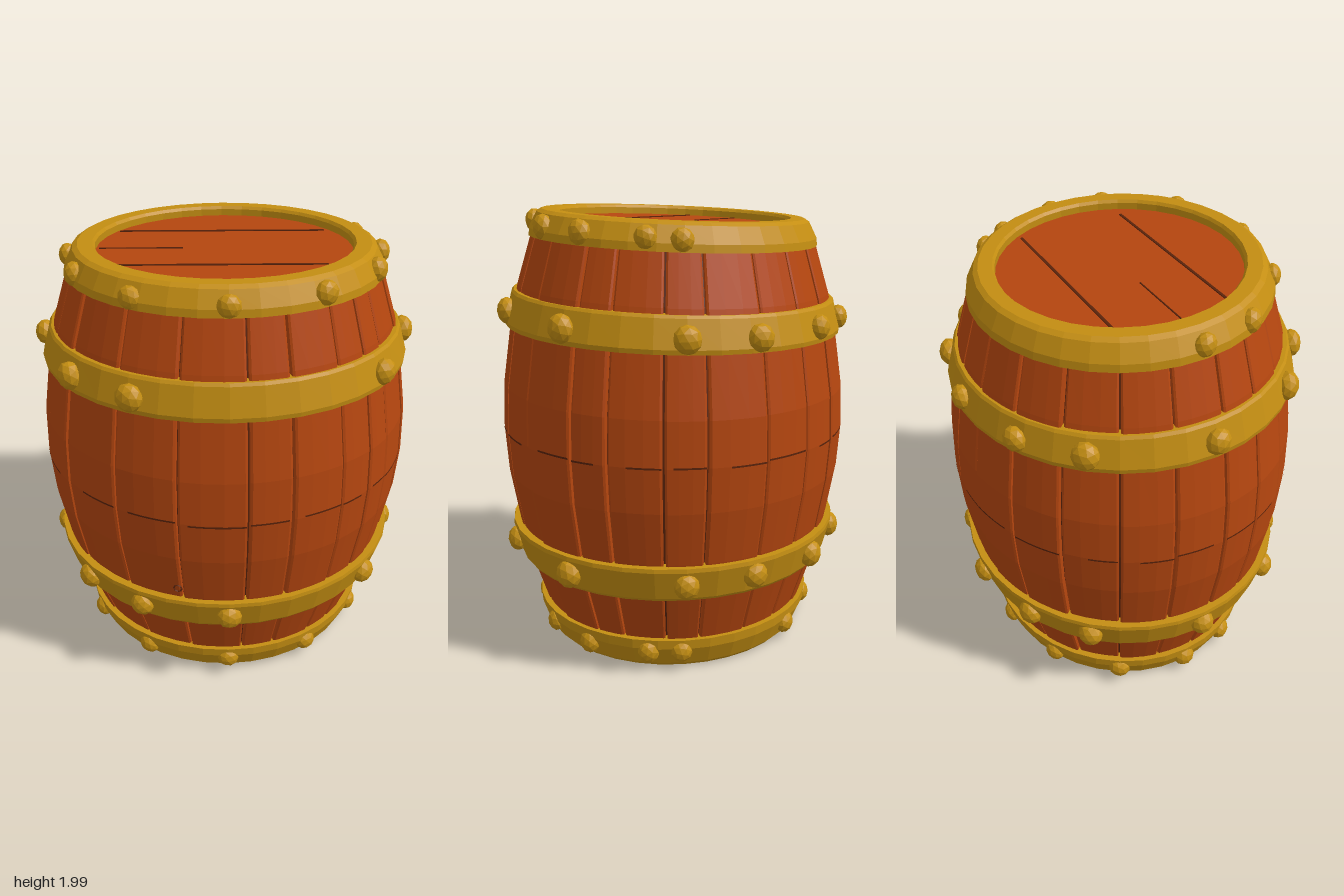
import * as THREE from 'three';

const wood = new THREE.MeshStandardMaterial({ color: 0xb5460f, flatShading: true });
wood.name = 'reddish wood';
const dark = new THREE.MeshStandardMaterial({ color: 0x5a230a, flatShading: true });
dark.name = 'dark gap';
const gold = new THREE.MeshStandardMaterial({ color: 0xc48e12, flatShading: true });
gold.name = 'old gold';

const RAD = Math.PI / 180;
// Barrel outline as [height, radius]
const outline = [[0.05, 0.625], [0.16, 0.668], [0.39, 0.745], [0.56, 0.785], [0.8, 0.828],
  [1, 0.842], [1.2, 0.834], [1.48, 0.79], [1.64, 0.752], [1.87, 0.678], [1.93, 0.655]];

function radiusAt(y) {
  for (let i = 1; i < outline.length; i++) {
    const [y0, r0] = outline[i - 1], [y1, r1] = outline[i];
    if (y <= y1) return r0 + (r1 - r0) * (y - y0) / (y1 - y0);
  }
  return outline[outline.length - 1][1];
}

let seed = 7;
function rand() {
  seed = (seed * 16807) % 2147483647;
  return seed / 2147483647;
}

// Oval, slightly leaning form shared by every part
function warp(v) {
  const slope = 0.012 + 0.038 * THREE.MathUtils.smoothstep(v.y, 0.6, 1.9);
  return v.set(v.x, v.y + slope * v.z, v.z * 0.93 + 0.015);
}

function finish(geometry) {
  const p = geometry.attributes.position, v = new THREE.Vector3();
  for (let i = 0; i < p.count; i++) {
    warp(v.fromBufferAttribute(p, i));
    p.setXYZ(i, v.x, v.y, v.z);
  }
  const flat = geometry.index ? geometry.toNonIndexed() : geometry;
  flat.computeVertexNormals();
  return flat;
}

function add(group, name, geometry, material) {
  const mesh = new THREE.Mesh(finish(geometry), material);
  mesh.name = name;
  group.add(mesh);
  return mesh;
}

function lathe(points, segments) {
  return new THREE.LatheGeometry(points.map(([r, y]) => new THREE.Vector2(r, y)), segments);
}

// One stave: curved strip with side walls dropping into the gaps
function staveGeometry(a0, a1, offset) {
  const g0 = a0 + 0.005 + rand() * 0.003, g1 = a1 - 0.005 - rand() * 0.003;
  const mid = (g1 - g0) / 3;
  const columns = [[g0, -0.035], [g0, -0.005], [g0 + 0.012, 0], [g0 + mid, 0], [g1 - mid, 0],
    [g1 - 0.012, 0], [g1, -0.005], [g1, -0.035]];
  const pos = [], index = [], rows = outline.length;
  for (const [a, d] of columns) {
    for (const [y, r] of outline) {
      const R = r + d + offset;
      pos.push(R * Math.sin(a), y, R * Math.cos(a));
    }
  }
  for (let i = 0; i < columns.length - 1; i++) {
    for (let j = 0; j < rows - 1; j++) {
      const a = i * rows + j, b = a + rows;
      index.push(a, b, a + 1, b, b + 1, a + 1);
    }
  }
  const g = new THREE.BufferGeometry();
  g.setAttribute('position', new THREE.Float32BufferAttribute(pos, 3));
  g.setIndex(index);
  return g;
}

// Faceted dome-like rivets around a band
function addRivets(group, angles, y, r, size) {
  for (const deg of angles) {
    const a = deg * RAD;
    const g = new THREE.IcosahedronGeometry(size * (0.94 + rand() * 0.12), 1);
    g.rotateZ(rand() * 3);
    g.scale(1, 1, 0.8);
    g.rotateY(a);
    g.translate(r * Math.sin(a), y + (rand() - 0.5) * 0.012, r * Math.cos(a));
    add(group, 'rivet', g, gold);
  }
}

export function createModel() {
  const barrel = new THREE.Group();
  barrel.name = 'barrel';

  // Dark core seen through the gaps
  add(barrel, 'gapCore', lathe(outline.map(([y, r]) => [r - 0.028, y]), 48), dark);

  // Staves with uneven widths, and a broken crack around the middle
  const staves = new THREE.Group();
  staves.name = 'staves';
  barrel.add(staves);
  const joints = [-57, -35, -15, 5.4, 18.5, 35, 47, 57, 75, 94, 106, 123, 136, 155, 172, 188,
    205, 222, 240, 257, 274, 288, 303];
  for (let i = 0; i < joints.length - 1; i++) {
    const a0 = joints[i] * RAD, a1 = joints[i + 1] * RAD, offset = (rand() - 0.5) * 0.01;
    add(staves, 'stave', staveGeometry(a0, a1, offset), wood);
    const span = (a1 - a0) * (0.5 + rand() * 0.45);
    const start = rand() < 0.5 ? a0 + 0.01 : a1 - span - 0.01;
    const r = radiusAt(1) + offset + 0.002;
    const crack = new THREE.CylinderGeometry(r, r, 0.008, 6, 1, true, start, span);
    crack.translate(0, 1 + (rand() - 0.5) * 0.015, 0);
    add(staves, 'crack', crack, dark);
  }

  // Small knot hole low on the front
  const knot = new THREE.TorusGeometry(0.018, 0.004, 4, 8);
  knot.translate(0, 0.61, radiusAt(0.61));
  knot.rotateY(-16.5 * RAD);
  add(barrel, 'knot', knot, dark);

  // End rims and the two middle hoops
  const bands = new THREE.Group();
  bands.name = 'bands';
  barrel.add(bands);
  add(bands, 'topRim', lathe([[0.64, 1.852], [0.694, 1.852], [0.69, 1.885], [0.652, 1.955],
    [0.63, 1.968], [0.565, 1.968], [0.555, 1.955], [0.555, 1.88]], 36), gold);
  add(bands, 'bottomRim', lathe([[0.555, 0.1], [0.555, 0.025], [0.565, 0.016], [0.635, 0.016],
    [0.655, 0.035], [0.692, 0.12], [0.695, 0.163], [0.64, 0.163]], 36), gold);
  add(bands, 'upperHoop', lathe([[0.76, 1.465], [0.815, 1.465], [0.818, 1.485],
    [0.782, 1.605], [0.772, 1.617], [0.72, 1.617]], 36), gold);
  add(bands, 'lowerHoop', lathe([[0.71, 0.392], [0.772, 0.392], [0.782, 0.405],
    [0.818, 0.535], [0.815, 0.553], [0.75, 0.553]], 36), gold);

  // Rivets
  const rivets = new THREE.Group();
  rivets.name = 'rivets';
  barrel.add(rivets);
  const hoopAngles = [180, 153, -153, 130, -130, 90, -90, 53, -53, -29];
  const rimAngles = [129, 116, 90, 67, 34, 0, -34, -67, -90];
  addRivets(rivets, hoopAngles, 1.532, 0.808, 0.06);
  addRivets(rivets, [...hoopAngles, 0], 0.475, 0.805, 0.06);
  addRivets(rivets, rimAngles, 1.9, 0.675, 0.053);
  addRivets(rivets, [...rimAngles, 180, -150, -120], 0.1, 0.675, 0.053);

  // Recessed lids with plank seams as [z, start x, end x]
  const seams = [[-0.27, -0.47, 0.46], [0, -0.54, -0.18], [0.25, -0.47, 0.42]];
  for (const [name, y, side] of [['topLid', 1.925, 1], ['bottomLid', 0.06, -1]]) {
    const lid = new THREE.CircleGeometry(0.575, 36);
    lid.rotateX(-side * Math.PI / 2);
    lid.translate(0, y, 0);
    add(barrel, name, lid, wood);
    for (const [z, x0, x1] of seams) {
      const seam = new THREE.BoxGeometry(x1 - x0, 0.004, z === 0 ? 0.005 : 0.012);
      seam.rotateY(-0.015);
      seam.translate((x0 + x1) / 2, y + side * 0.002, z);
      add(barrel, name + 'Seam', seam, dark);
    }
  }
  return barrel;
}
